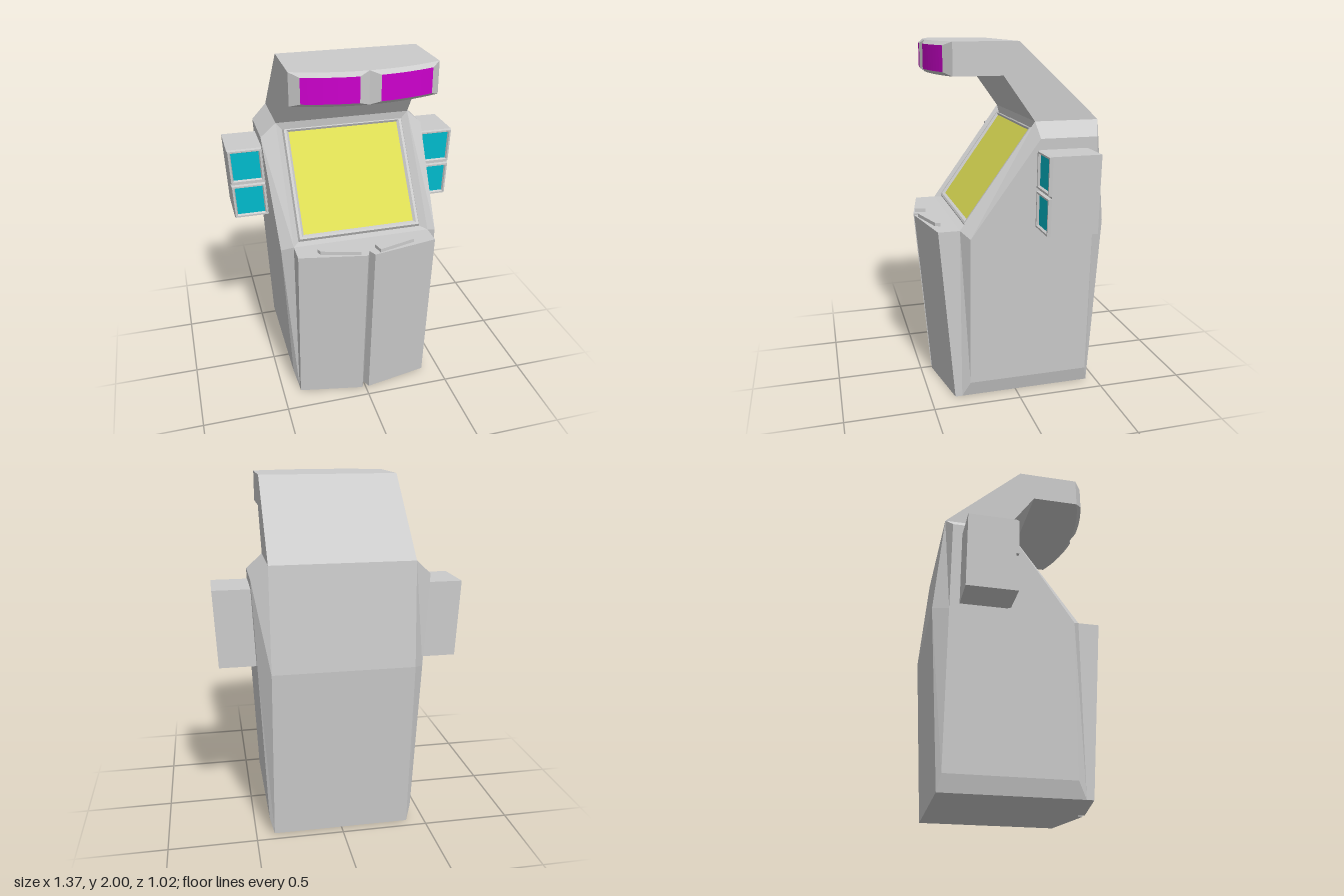
import * as THREE from 'three';

const paint = (color) => new THREE.MeshStandardMaterial({ color, flatShading: true, side: THREE.DoubleSide });
const grey = paint(0xcccccc), yellow = paint(0xdddd55), magenta = paint(0xcc00cc), cyan = paint(0x00bbcc);

function add(parent, name, geometry, material = grey) {
  const mesh = new THREE.Mesh(geometry, material);
  mesh.name = name;
  parent.add(mesh);
  return mesh;
}

// Flat-shaded geometry from a list of quads, each four [x, y, z] corners
function quads(list) {
  const pos = [];
  for (const [a, b, c, d] of list) pos.push(...a, ...b, ...c, ...a, ...c, ...d);
  const g = new THREE.BufferGeometry();
  g.setAttribute('position', new THREE.Float32BufferAttribute(pos, 3));
  g.computeVertexNormals();
  return g;
}

// Joins closed rings of points; side -1 mirrors them in x
function loft(rings, side = 1, capStart = true, capEnd = true) {
  if (side < 0) rings = rings.map((r) => r.map(([x, y, z]) => [-x, y, z]).reverse());
  const list = [], n = rings[0].length;
  for (let k = 0; k + 1 < rings.length; k++) {
    for (let i = 0; i < n; i++) {
      const j = (i + 1) % n;
      list.push([rings[k][i], rings[k][j], rings[k + 1][j], rings[k + 1][i]]);
    }
  }
  const cap = (r, flip) => {
    const c = [0, 1, 2].map((a) => r.reduce((s, p) => s + p[a], 0) / n);
    for (let i = 0; i < n; i++) {
      const a = r[i], b = r[(i + 1) % n];
      list.push(flip ? [c, b, a, c] : [c, a, b, c]);
    }
  };
  if (capStart) cap(rings[0], true);
  if (capEnd) cap(rings[rings.length - 1], false);
  return quads(list);
}

const shapeOf = (pts) => new THREE.Shape(pts.map(([x, y]) => new THREE.Vector2(x, y)));
const extrude = (shape, depth) => new THREE.ExtrudeGeometry(shape, { depth, bevelEnabled: false });
const rect = (x0, x1, y0, y1) => [[x0, y0], [x1, y0], [x1, y1], [x0, y1]];

const W = 0.395; // half width of the cabinet core

function addCabinet(g) {
  // Core and overhang as one side profile (z, y), with a sunken screen slope
  const core = extrude(shapeOf([
    [0.32, 0], [0.32, 1], [0.27, 1], [-0.13, 1.555], [-0.10, 1.58], [0.075, 1.825], [0.3, 1.825],
    [0.3, 2], [-0.01, 2], [-0.46, 1.58], [-0.51, 1], [-0.445, 0],
  ]), 2 * W);
  core.rotateY(-Math.PI / 2).translate(W, 0, 0);
  add(g, 'cabinetCore', core);

  // Bevelled side panels leaning outwards
  const inner = [[0.32, 0], [-0.445, 0], [-0.51, 1], [-0.46, 1.58], [-0.10, 1.58], [0.32, 1]];
  const outer = [[0.275, 0.09], [-0.425, 0.09], [-0.425, 0.975], [-0.425, 1.5], [-0.105, 1.5], [0.275, 0.965]];
  for (const s of [1, -1]) {
    add(g, s > 0 ? 'leftSidePanel' : 'rightSidePanel', loft([
      inner.map(([z, y]) => [W, y, z]),
      outer.map(([z, y]) => [0.416 + 0.046 * y, y, z]),
    ], s));
  }

  // Pointed front panel with a centre groove, leaning forwards
  const plan = [[-W, 0.3], [-W, 0.44], [-0.02, 0.512], [0, 0.465], [0.02, 0.512], [W, 0.44], [W, 0.3]];
  add(g, 'frontPanel', loft([0, 1].map((y) =>
    plan.map(([x, z]) => [x, y, z > 0.31 ? z - 0.08 * (1 - y) : z]))));

  // Control pads on the deck
  const pad = [[0.04, 0.437], [0.055, 0.497], [0.27, 0.435], [0.28, 0.405]];
  for (const s of [1, -1]) {
    add(g, 'controlPad', loft([0.99, 1.02].map((y) => pad.map(([x, z]) => [x, y, z])), s));
  }
}

function addScreen(g) {
  const screen = new THREE.Group();
  screen.name = 'screen';
  screen.position.set(0, 1, 0.32);
  screen.rotation.x = -Math.atan2(0.42, 0.58);
  g.add(screen);
  // Recess walls and raised frame: half width, bottom, top, height
  const steps = [
    [W, 0, 0.716, 0], [0.36, 0.03, 0.682, -0.03], [0.352, 0.04, 0.678, -0.012],
    [0.338, 0.052, 0.672, -0.012], [0.325, 0.065, 0.664, -0.025],
  ];
  const rings = steps.map(([w, a, b, z]) => rect(-w, w, a, b).map(([x, y]) => [x, y, z]));
  add(screen, 'screenFrame', loft(rings, 1, false, false));
  add(screen, 'screenGlass', quads([rings[4]]), yellow);
}

function addMarquee(g) {
  const arc = (x) => 0.42 - 0.075 * (x / W) ** 2;
  const N = 8;
  // Curved head block
  const plan = [[-W, -0.28], [W, -0.28]];
  for (let i = 0; i <= 2 * N; i++) {
    const x = W - (W * i) / N;
    plan.push([x, -arc(x)]);
  }
  const head = extrude(shapeOf(plan.reverse()), 0.175);
  head.rotateX(-Math.PI / 2).translate(0, 1.825, 0);
  add(g, 'marqueeHead', head);

  // Two bevelled lamps following the curve
  for (const s of [1, -1]) {
    const row = (x0, x1, y, lift) => Array.from({ length: N + 1 }, (_, i) => {
      const x = x0 + ((x1 - x0) * i) / N;
      return [s * x, y, arc(x) + lift];
    });
    const rows = [row(0, W, 1.825, 0), row(0.055, 0.345, 1.845, 0.025),
      row(0.055, 0.345, 1.98, 0.025), row(0, W, 2, 0)];
    const strip = (a, b) => a.slice(1).map((p, i) => {
      const q = [a[i], p, b[i + 1], b[i]];
      return s > 0 ? q : q.reverse();
    });
    const end = (i) => rows.map((r) => r[i]);
    const ends = [end(0).reverse(), end(N)].map((q) => (s > 0 ? q : q.reverse()));
    add(g, 'marqueeFrame', quads([...strip(rows[0], rows[1]), ...strip(rows[2], rows[3]), ...ends]));
    add(g, 'marqueeLamp', quads(strip(rows[1], rows[2])), magenta);
  }
}

function addSidePods(g) {
  for (const s of [1, -1]) {
    const pod = new THREE.Group();
    pod.name = s > 0 ? 'leftPod' : 'rightPod';
    g.add(pod);
    // Lean each piece with the cabinet side
    const ring = (x0, x1, y0, y1, z) => rect(x0, x1, y0, y1).map(([x, y]) => [x + 0.046 * (y - 1.225), y, z]);
    add(pod, 'podBody', loft([ring(0.44, 0.676, 1.01, 1.44, -0.37), ring(0.44, 0.676, 1.01, 1.44, -0.105)], s));
    for (const [y0, y1] of [[1.01, 1.219], [1.231, 1.44]]) {
      const at = (inset, z) => ring(0.474 + inset, 0.676 - inset, y0 + inset, y1 - inset, z);
      add(pod, 'podFrame', loft([at(0, -0.105), at(0.004, -0.087), at(0.014, -0.087), at(0.02, -0.1)], s, false, false));
      add(pod, 'podLamp', loft([at(0.02, -0.104), at(0.02, -0.1)], s), cyan);
    }
  }
}

export function createModel() {
  const g = new THREE.Group();
  g.name = 'arcadeCabinet';
  addCabinet(g);
  addScreen(g);
  addMarquee(g);
  addSidePods(g);
  return g;
}
